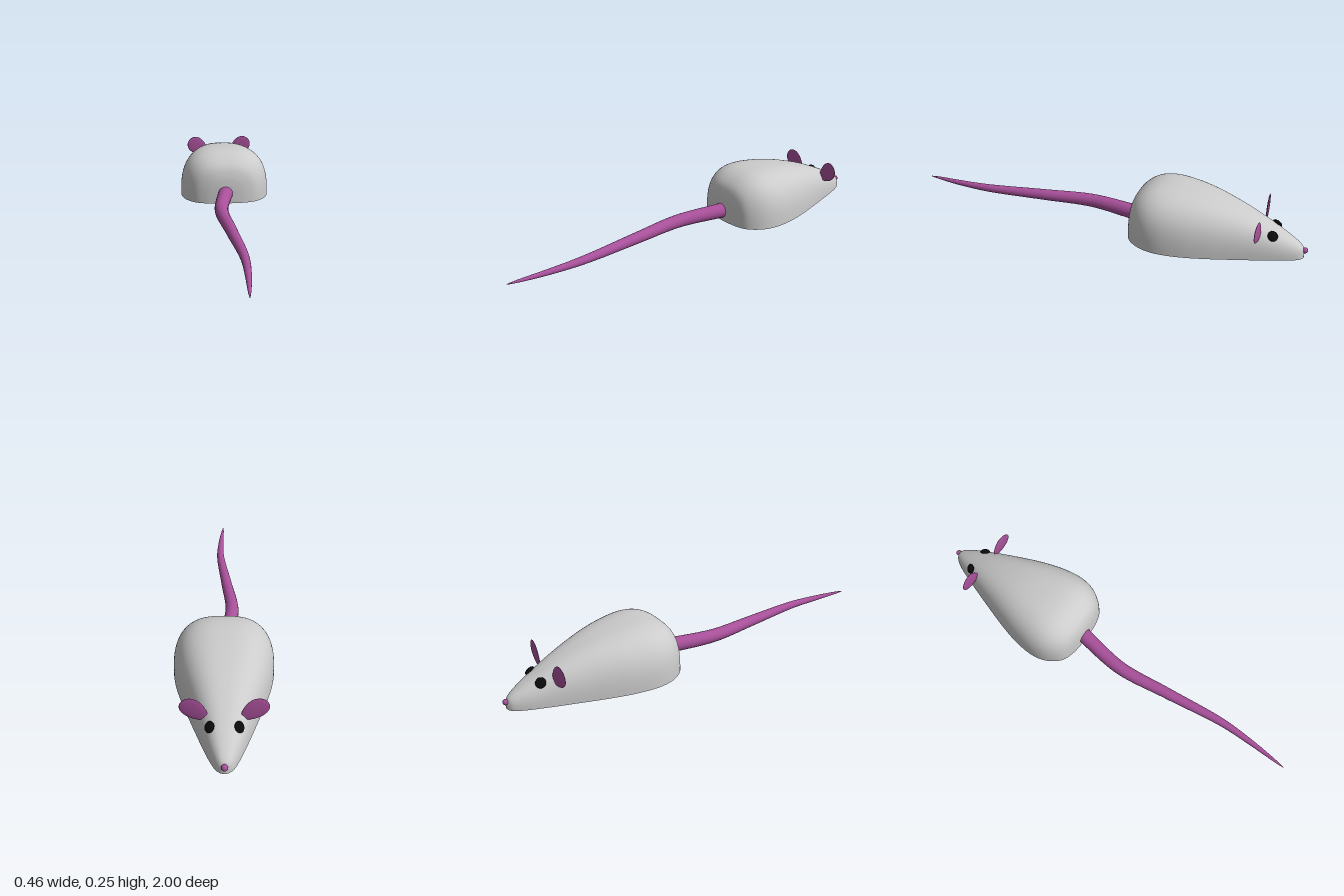
import * as THREE from 'three';

const material = (color) => new THREE.MeshStandardMaterial({ color, side: THREE.DoubleSide });

function addMesh(parent, name, geometry, mat) {
  const mesh = new THREE.Mesh(geometry, mat);
  mesh.name = name;
  parent.add(mesh);
  return mesh;
}

// Open-bottomed shell: squarish arches swept from rump to snout
function bodyGeometry() {
  // half width, height, z
  const stations = [
    [0.055, 0.09, -0.163], [0.105, 0.14, -0.17], [0.16, 0.19, -0.191], [0.2, 0.228, -0.235],
    [0.222, 0.247, -0.285], [0.23, 0.253, -0.35], [0.218, 0.246, -0.45], [0.192, 0.229, -0.55],
    [0.159, 0.202, -0.65], [0.124, 0.167, -0.75], [0.088, 0.123, -0.85], [0.06, 0.088, -0.92],
    [0.034, 0.058, -0.968], [0.014, 0.038, -0.984],
  ].map((s) => new THREE.Vector3(...s));
  const rings = new THREE.CatmullRomCurve3(stations).getPoints(78);
  rings.unshift(new THREE.Vector3(0, 0, -0.161)); // close the rump
  rings.push(new THREE.Vector3(0, 0, -0.986)); // close the snout
  const segments = 40;
  const positions = [];
  const indices = [];
  rings.forEach((ring, i) => {
    const power = THREE.MathUtils.mapLinear(ring.z, -0.16, -1, 3, 2.5);
    for (let j = 0; j <= segments; j++) {
      const a = (j / segments) * Math.PI;
      const c = Math.cos(a);
      const s = Math.abs(Math.sin(a));
      const r = (Math.abs(c) ** power + s ** power) ** (-1 / power);
      positions.push(ring.x * r * c, ring.y * r * s, ring.z);
      if (i < rings.length - 1 && j < segments) {
        const p = i * (segments + 1) + j;
        const q = p + segments + 1;
        indices.push(p, p + 1, q, p + 1, q + 1, q);
      }
    }
  });
  const geometry = new THREE.BufferGeometry();
  geometry.setAttribute('position', new THREE.Float32BufferAttribute(positions, 3));
  geometry.setIndex(indices);
  geometry.computeVertexNormals();
  return geometry;
}

// Hollow tube whose rings shrink toward the tip
function tailGeometry() {
  const path = new THREE.CatmullRomCurve3([
    [0.002, 0.053, -0.2], [-0.012, 0.05, -0.13], [-0.042, 0.045, 0.08], [-0.016, 0.038, 0.34],
    [0.016, 0.03, 0.64], [0.014, 0.025, 0.8], [0, 0.021, 1],
  ].map((p) => new THREE.Vector3(...p)));
  const steps = 80;
  const sides = 20;
  const geometry = new THREE.TubeGeometry(path, steps, 0.038, sides);
  const position = geometry.attributes.position;
  const v = new THREE.Vector3();
  for (let i = 0; i <= steps; i++) {
    const center = path.getPointAt(i / steps);
    const scale = Math.max(0.03, (1 - i / steps) ** 0.55);
    for (let j = 0; j <= sides; j++) {
      const k = i * (sides + 1) + j;
      v.fromBufferAttribute(position, k).sub(center).multiplyScalar(scale).add(center);
      position.setXYZ(k, v.x, v.y, v.z);
    }
  }
  return geometry;
}

// Thin petal, narrower at its root (-x)
function earGeometry() {
  const geometry = new THREE.SphereGeometry(1, 32, 20);
  const position = geometry.attributes.position;
  for (let i = 0; i < position.count; i++) {
    const x = position.getX(i);
    position.setXYZ(i, x * 0.065, position.getY(i) * 0.05 * (0.92 + 0.2 * x), position.getZ(i) * 0.006);
  }
  geometry.computeVertexNormals();
  return geometry;
}

export function createModel() {
  const model = new THREE.Group();
  model.name = 'mouse';
  const grey = material(0xcccccc);
  const pink = material(0xa8509a);
  const black = material(0x0a0a0a);

  addMesh(model, 'body', bodyGeometry(), grey);
  addMesh(model, 'tail', tailGeometry(), pink);
  addMesh(model, 'nose', new THREE.SphereGeometry(0.014, 24, 16), pink).position.set(0, 0.035, -0.986);

  // Mirrored ears and eyes
  for (const side of [1, -1]) {
    const label = side > 0 ? 'left' : 'right';
    const ear = addMesh(model, label + 'Ear', earGeometry(), pink);
    ear.position.set(side * 0.123, 0.151, -0.783);
    ear.rotation.set(0, side > 0 ? -0.08 : Math.PI + 0.08, 0.7);

    const eye = addMesh(model, label + 'Eye', new THREE.SphereGeometry(0.024, 24, 16), black);
    eye.scale.z = 0.5;
    eye.position.set(side * 0.06, 0.113, -0.842);
    eye.lookAt(side * 0.7, 0.75, -1.25);
  }
  return model;
}
